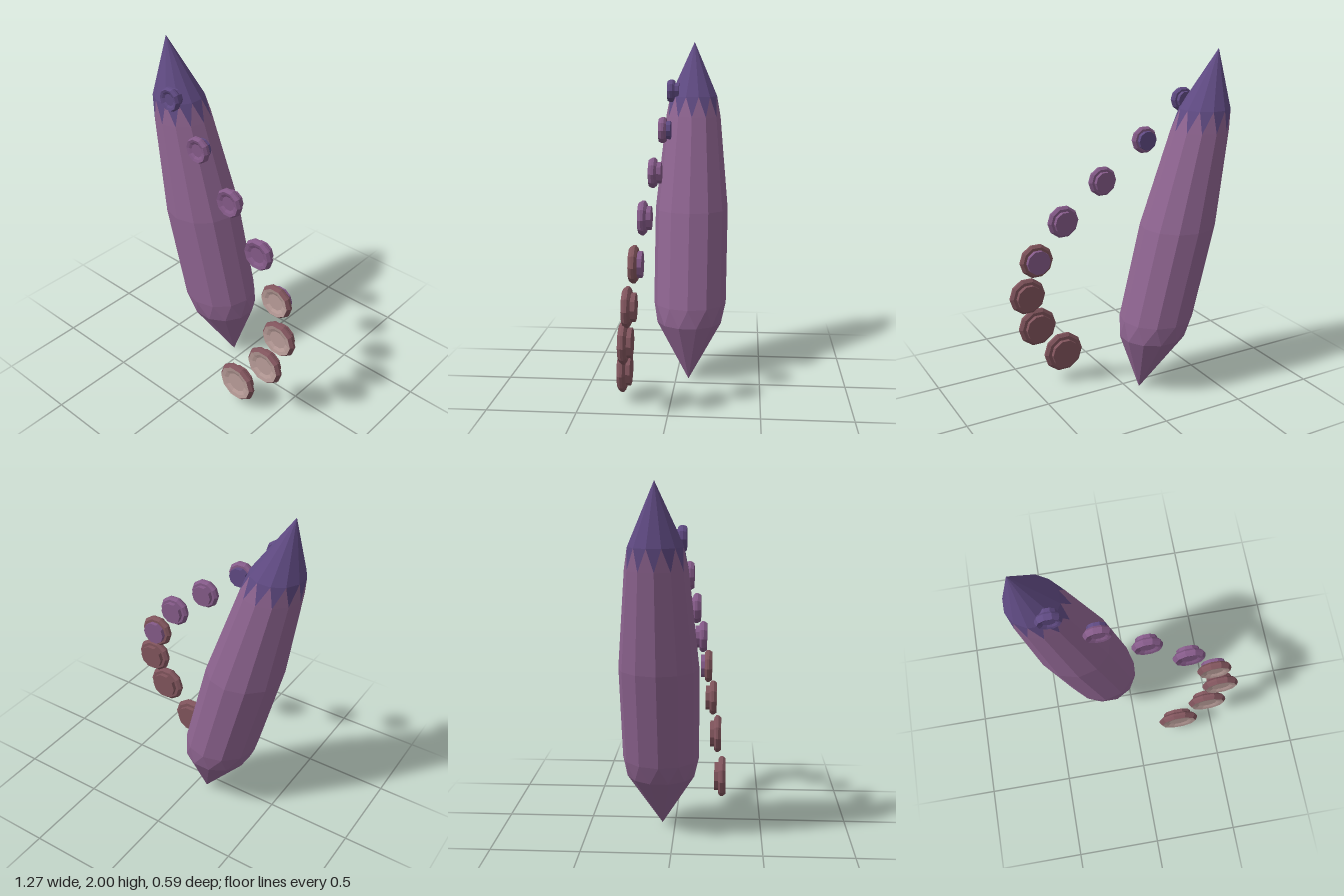
import * as THREE from 'three';

const SIDES = 12;

function mat(color) {
  return new THREE.MeshStandardMaterial({ color, flatShading: true });
}

// Point on the leaning body: k steps round a level ring
function ringPoint(y, r, k) {
  const a = (k / SIDES) * Math.PI * 2;
  return [-0.07 - 0.255 * y + r * Math.cos(a), y, -0.075 + r * Math.sin(a)];
}

function meshFrom(name, triangles, color) {
  const geo = new THREE.BufferGeometry();
  geo.setAttribute('position', new THREE.Float32BufferAttribute(triangles.flat(2), 3));
  geo.computeVertexNormals();
  const mesh = new THREE.Mesh(geo, mat(color));
  mesh.name = name;
  return mesh;
}

function createBody() {
  const body = new THREE.Group();
  body.name = 'crystalBody';
  const shaft = [], tip = [];
  const bottom = ringPoint(0, 0, 0), top = ringPoint(2, 0, 0);
  for (let k = 0; k < SIDES; k++) {
    // lower point, joined to the shaft by a zigzag band
    const p0 = ringPoint(0.34, 0.197, k - 0.5), p1 = ringPoint(0.34, 0.197, k + 0.5);
    const a0 = ringPoint(0.45, 0.217, k), a1 = ringPoint(0.45, 0.217, k + 1);
    shaft.push([bottom, p0, p1], [p0, a0, p1], [p1, a0, a1]);
    // two straight stretches of shaft
    const b0 = ringPoint(1, 0.22, k), b1 = ringPoint(1, 0.22, k + 1);
    const c0 = ringPoint(1.55, 0.167, k), c1 = ringPoint(1.55, 0.167, k + 1);
    shaft.push([a0, b0, a1], [a1, b0, b1], [b0, c0, b1], [b1, c0, c1]);
    // upper zigzag band and dark point
    const u0 = ringPoint(1.67, 0.148, k - 0.5), u1 = ringPoint(1.67, 0.148, k + 0.5);
    shaft.push([c0, u1, c1]);
    tip.push([c0, u0, u1], [u0, top, u1]);
  }
  body.add(meshFrom('shaft', shaft, 0x8e6490), meshFrom('darkTip', tip, 0x5f4a82));
  return body;
}

// Turned piece whose axis points to +z; profile is [radius, z] from back to front
function turned(name, profile, color) {
  const pts = profile.map(([r, z]) => new THREE.Vector2(r, z));
  const geo = new THREE.LatheGeometry(pts, 10, Math.PI / 2);
  geo.rotateX(Math.PI / 2);
  const mesh = new THREE.Mesh(geo, mat(color));
  mesh.name = name;
  return mesh;
}

function createDisc(r, rimColor, faceColor, bossColor) {
  const disc = new THREE.Group();
  disc.name = 'disc';
  disc.add(
    turned('backBoss', [[0, -0.07], [0.7 * r, -0.07], [0.7 * r, -0.044]], bossColor),
    turned('rim', [[0, -0.045], [0.86 * r, -0.045], [r, -0.032], [r, -0.018], [0.88 * r, 0]], rimColor),
    turned('dishedFace', [[0.88 * r, 0], [0.68 * r, -0.004], [0.5 * r, -0.012], [0, -0.012]], faceColor)
  );
  return disc;
}

export function createModel() {
  const model = new THREE.Group();
  model.name = 'crystalWithDiscs';
  model.add(createBody());

  // Curving trail of discs: x, y, radius, rim, face, boss
  const purple = 0x845a88, dark = 0x5f4a82, red = 0x80545c, tan = 0xb89c98;
  const trail = [
    [-0.425, 1.705, 0.071, dark, dark, dark],
    [-0.19, 1.485, 0.079, purple, purple, dark],
    [0.07, 1.265, 0.087, purple, purple, purple],
    [0.31, 1.05, 0.095, purple, purple, purple],
    [0.47, 0.83, 0.102, red, tan, purple],
    [0.52, 0.61, 0.11, red, tan, red],
    [0.45, 0.39, 0.118, red, tan, red],
    [0.27, 0.17, 0.125, red, tan, red],
  ];
  trail.forEach(([x, y, r, rim, face, boss], i) => {
    const disc = createDisc(r, rim, face, boss);
    disc.position.set(x, y, 0.08 + 0.0307 * i);
    model.add(disc);
  });
  return model;
}
